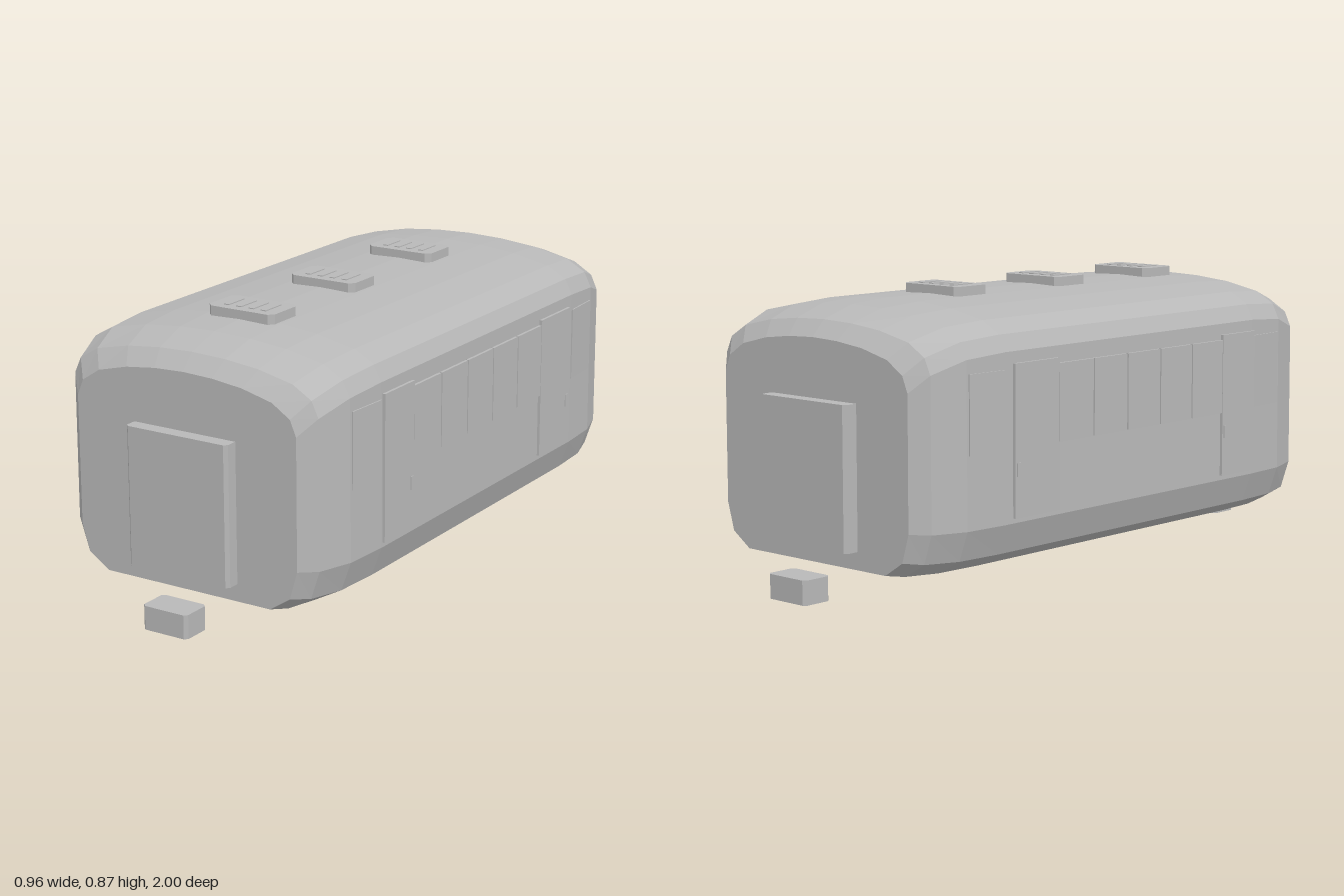
import * as THREE from 'three';

export function createModel() {
  const model = new THREE.Group();
  const grey = new THREE.MeshStandardMaterial({ color: 0xb8b8b8 });
  grey.name = 'shell grey';

  const add = (name, geometry, x = 0, y = 0, z = 0) => {
    const mesh = new THREE.Mesh(geometry, grey);
    mesh.name = name;
    mesh.position.set(x, y, z);
    model.add(mesh);
    return mesh;
  };
  const box = (name, w, h, d, x, y, z) => add(name, new THREE.BoxGeometry(w, h, d), x, y, z);

  // Upright slab with chamfered vertical corners, base at y
  const slab = (name, w, d, h, c, x, y, z) => {
    const a = w / 2, b = d / 2;
    const outline = [[-a + c, -b], [a - c, -b], [a, -b + c], [a, b - c], [a - c, b], [-a + c, b], [-a, b - c], [-a, -b + c]];
    const shape = new THREE.Shape(outline.map(p => new THREE.Vector2(...p)));
    const geo = new THREE.ExtrudeGeometry(shape, { depth: h, bevelEnabled: false });
    geo.rotateX(-Math.PI / 2);
    return add(name, geo, x, y, z);
  };

  // Body: half cross-sections from roof centre down to floor edge
  const middle = [[0, 0.845], [0.125, 0.841], [0.25, 0.829], [0.375, 0.804], [0.44, 0.768], [0.465, 0.72],
    [0.468, 0.225], [0.435, 0.135], [0.35, 0.09]];
  const end = [[0, 0.753], [0.1, 0.749], [0.2, 0.737], [0.3, 0.712], [0.36, 0.673], [0.38, 0.625],
    [0.38, 0.23], [0.355, 0.145], [0.287, 0.1]];
  // Stations along the length: z and blend from end to middle section
  const half = [[0.885, 0], [0.84, 0.52], [0.73, 0.9], [0.58, 1]];
  const stations = [...half, ...half.map(([z, t]) => [-z, t]).reverse()];
  const rings = stations.map(([z, t]) => {
    const side = middle.map((m, i) => [
      THREE.MathUtils.lerp(end[i][0], m[0], t), THREE.MathUtils.lerp(end[i][1], m[1], t), z]);
    const mirrored = side.slice(1).reverse().map(([x, y]) => [-x, y, z]);
    return [...side, ...mirrored];
  });
  const positions = [];
  const tri = (a, b, c) => positions.push(...a, ...b, ...c);
  const n = rings[0].length;
  for (let s = 0; s < rings.length - 1; s++) {
    for (let i = 0; i < n; i++) {
      const j = (i + 1) % n, A = rings[s], B = rings[s + 1];
      tri(A[i], A[j], B[j]);
      tri(A[i], B[j], B[i]);
    }
  }
  const front = rings[0], back = rings[rings.length - 1];
  const frontCentre = [0, 0.42, 0.885], backCentre = [0, 0.42, -0.885];
  for (let i = 0; i < n; i++) {
    const j = (i + 1) % n;
    tri(frontCentre, front[j], front[i]);
    tri(backCentre, back[i], back[j]);
  }
  const bodyGeo = new THREE.BufferGeometry();
  bodyGeo.setAttribute('position', new THREE.Float32BufferAttribute(positions, 3));
  bodyGeo.computeVertexNormals();
  add('body', bodyGeo);

  // Gangway and coupler at each end
  for (const s of [1, -1]) {
    slab('gangway', 0.352, 0.06, 0.425, 0.01, 0, 0.153, s * 0.9);
    slab('coupler', 0.156, 0.1, 0.073, 0.01, 0, 0, s * 0.95);
  }

  // Roof vents with four slats
  for (const z of [0.54, 0.11, -0.34]) {
    slab('roofVent', 0.23, 0.138, 0.04, 0.016, 0, 0.83, z);
    for (let i = 0; i < 4; i++) box('ventSlat', 0.018, 0.004, 0.08, -0.065 + i * 0.0433, 0.871, z);
  }

  // Doors, handles and windows on both sides
  for (const s of [1, -1]) {
    for (const [z, w] of [[0.495, 0.162], [-0.455, 0.19]]) {
      box('door', 0.009, 0.446, w, s * 0.4715, 0.463, z);
      box('doorHandle', 0.004, 0.04, 0.014, s * 0.477, 0.38, z - w / 2 + 0.014);
    }
    for (let i = 0; i < 5; i++) box('window', 0.009, 0.23, 0.15, s * 0.471, 0.555, 0.337 - i * 0.155);
    // End windows follow the taper
    for (const e of [1, -1]) {
      const pane = box('endWindow', 0.007, 0.23, 0.14, s * 0.462, 0.555, e * 0.652);
      pane.rotation.y = -s * e * 0.058;
    }
  }
  return model;
}
